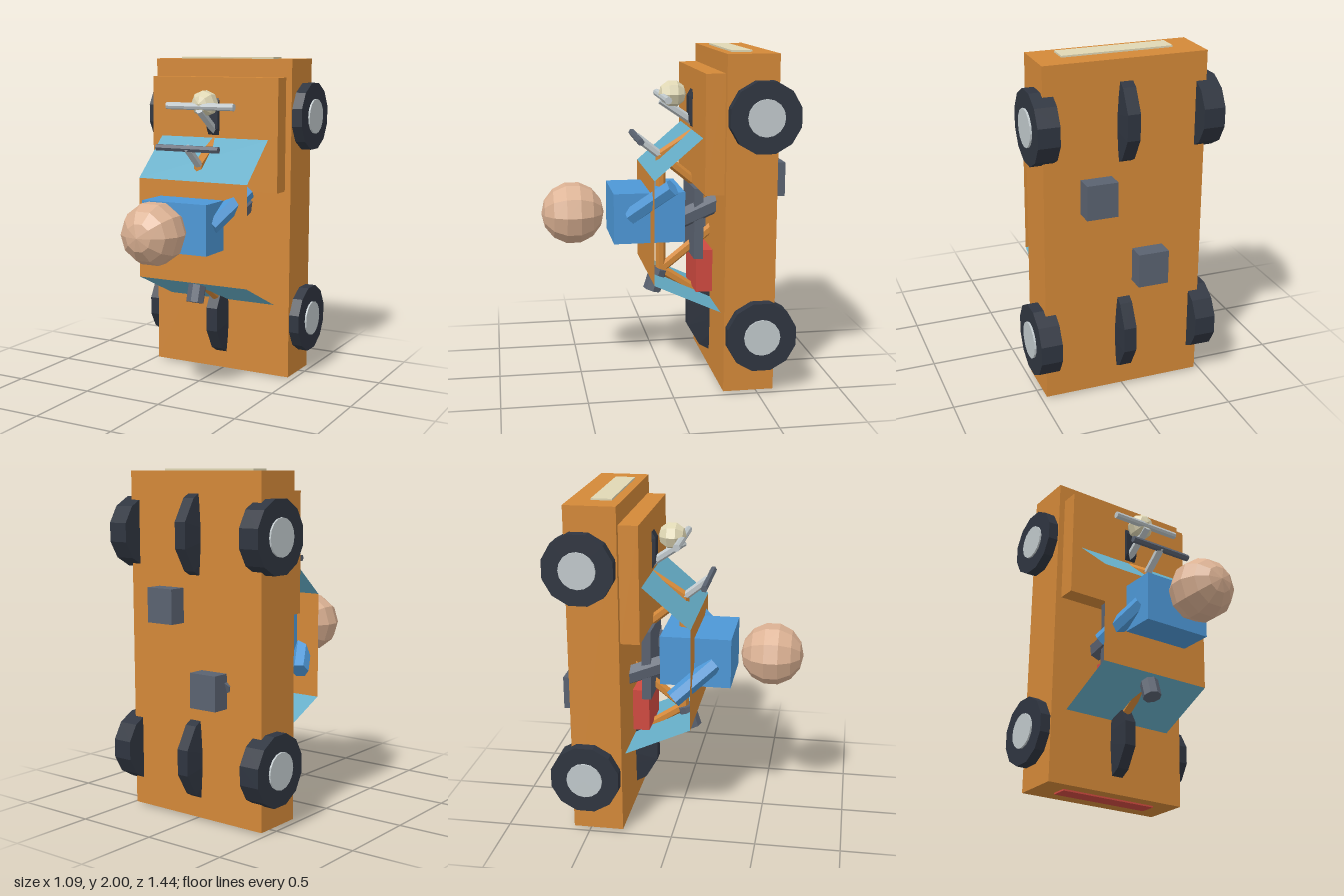
import * as THREE from 'three';

const mat = (name, color, extra = {}) => {
  const m = new THREE.MeshStandardMaterial({ color, flatShading: true, ...extra });
  m.name = name;
  return m;
};

export function createModel() {
  const root = new THREE.Group();
  const orange = mat('orange paint', 0xd38838, { side: THREE.DoubleSide });
  const glass = mat('blue glass', 0x66aec8, { side: THREE.DoubleSide });
  const tyre = mat('tyre black', 0x2f3540);
  const grey = mat('dark grey', 0x5a6270);
  const chrome = mat('chrome', 0xc0c8cb);
  const skin = mat('skin', 0xdbb193);
  const blue = mat('blue cloth', 0x4d97d6);
  const cream = mat('lamp cream', 0xdfd7b4);
  const red = mat('red', 0xcf4a40);

  const add = (name, geo, material, x = 0, y = 0, z = 0) => {
    const m = new THREE.Mesh(geo, material);
    m.name = name;
    m.position.set(x, y, z);
    root.add(m);
    return m;
  };
  // box given by its limits on each axis
  const box = (name, material, x0, x1, y0, y1, z0, z1) =>
    add(name, new THREE.BoxGeometry(x1 - x0, y1 - y0, z1 - z0), material,
      (x0 + x1) / 2, (y0 + y1) / 2, (z0 + z1) / 2);
  // straight rod between two points
  const rod = (name, material, a, b, r, sides = 6) => {
    const p = new THREE.Vector3(...a), q = new THREE.Vector3(...b);
    const d = q.clone().sub(p);
    const m = add(name, new THREE.CylinderGeometry(r, r, d.length(), sides), material);
    m.position.copy(p).add(q).multiplyScalar(0.5);
    m.quaternion.setFromUnitVectors(new THREE.Vector3(0, 1, 0), d.normalize());
    return m;
  };
  // flat panel between two cross-car edges, each given as [y, z]
  const panel = (name, material, top, bottom, w) => {
    const g = new THREE.BufferGeometry();
    g.setAttribute('position', new THREE.Float32BufferAttribute([
      -w, bottom[0], bottom[1], w, bottom[0], bottom[1],
      w, top[0], top[1], -w, top[0], top[1]], 3));
    g.setIndex([0, 1, 2, 0, 2, 3]);
    g.computeVertexNormals();
    return add(name, g, material);
  };

  // upright car: nose up, roof towards the front
  box('carBody', orange, -0.47, 0.47, 0.015, 1.99, -0.6, -0.3);
  box('hood', orange, -0.432, 0.432, 1.19, 1.88, -0.3, -0.187);
  panel('roof', orange, [1.27, 0.093], [0.65, 0.093], 0.368);
  panel('windshield', glass, [1.51, -0.187], [1.27, 0.093], 0.368);
  panel('rearWindow', glass, [0.65, 0.093], [0.47, -0.3], 0.368);
  box('headlightStrip', cream, -0.32, 0.32, 1.99, 2.0, -0.475, -0.355);
  box('tailLightStrip', red, -0.32, 0.32, 0.005, 0.015, -0.485, -0.38);

  for (const s of [-1, 1]) {
    for (const y of [0.36, 1.64]) {
      const w = add('carWheel', new THREE.CylinderGeometry(0.21, 0.21, 0.124, 12)
        .rotateY(Math.PI / 12).rotateZ(Math.PI / 2), tyre, s * 0.472, y, -0.512);
      const hub = new THREE.Mesh(new THREE.CylinderGeometry(0.107, 0.107, 0.02, 16)
        .rotateZ(Math.PI / 2), chrome);
      hub.name = 'hubCap';
      hub.position.x = s * 0.063;
      w.add(hub);
    }
  }

  // bike wheels on the centre line
  const section = [[0, -0.05], [0.16, -0.05], [0.285, -0.037], [0.285, 0.037], [0.16, 0.05], [0, 0.05]]
    .map(p => new THREE.Vector2(...p));
  for (const y of [0.36, 1.64]) {
    add('bikeWheel', new THREE.LatheGeometry(section, 12)
      .rotateY(Math.PI / 12).rotateZ(Math.PI / 2), tyre, 0, y, -0.44);
  }

  // bike frame, as [y, z] pairs
  const rear = [0.36, -0.44], front = [1.64, -0.44], crank = [1.0, -0.44];
  const seatTop = [0.65, 0], neck = [1.36, 0];
  for (const [a, b] of [[seatTop, neck], [seatTop, rear], [seatTop, crank],
    [neck, crank], [neck, front], [rear, crank]]) {
    rod('frameTube', orange, [0, ...a], [0, ...b], 0.03);
  }
  rod('saddle', grey, [0, 0.52, 0.055], [0, 0.655, 0.012], 0.056, 8);
  box('engine', grey, -0.18, 0.18, 0.75, 1.18, -0.23, -0.175);
  box('tank', red, -0.165, 0.165, 0.54, 0.8, -0.29, -0.19);

  // handlebars, fork and lamp
  rod('stem', chrome, [0, 1.355, 0], [0, 1.475, 0.15], 0.025);
  rod('lowerHandlebar', grey, [-0.208, 1.47, 0.147], [0.208, 1.47, 0.147], 0.021);
  rod('fork', chrome, [0, 1.69, 0], [0, 1.5, -0.28], 0.025);
  rod('upperHandlebar', chrome, [-0.228, 1.71, -0.01], [0.228, 1.71, -0.01], 0.022, 8);
  add('lamp', new THREE.SphereGeometry(0.083, 8, 5).rotateX(Math.PI / 2), cream, 0, 1.725, -0.07);

  // rider
  box('torso', blue, -0.215, 0.215, 0.87, 1.17, -0.113, 0.31);
  add('head', new THREE.SphereGeometry(0.187, 10, 7).rotateX(Math.PI / 2), skin, 0, 1.022, 0.535);
  for (const s of [-1, 1]) {
    rod('arm', blue, [s * 0.19, 1.02 + s * 0.01, 0.21], [s * 0.315, 1.02 + s * 0.2, -0.02], 0.053);
    rod('leg', grey, [s * 0.13, 0.98 + s * 0.01, -0.1], [s * 0.2, 1.01 + s * 0.22, -0.61], 0.06);
    const fx = s > 0 ? 0.17 : -0.14, fy = 1.01 + s * 0.228;
    box('shoe', grey, fx - 0.09, fx + 0.09, fy - 0.1, fy + 0.1, -0.703, -0.6);
  }

  return root;
}
